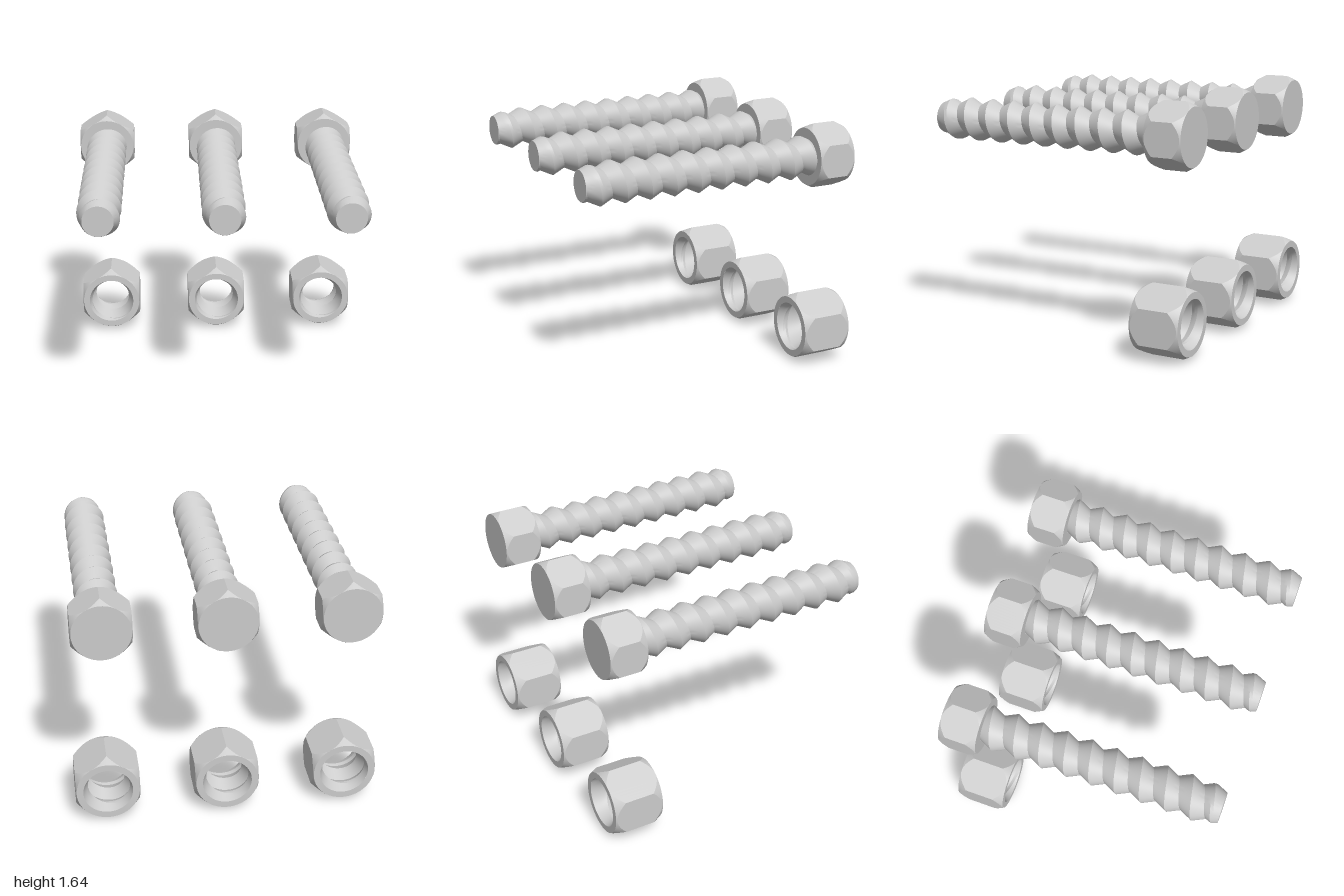
import * as THREE from 'three';
import { toCreasedNormals } from 'three/addons/utils/BufferGeometryUtils.js';

const PITCH = 0.169;
const SPACING = 0.789;
const BACK = -0.93;
const material = new THREE.MeshStandardMaterial({ color: 0xcccccc });

// Skin a grid of points, point(row, column); columns run counter-clockwise seen from +z
function skin(rows, columns, point, inward = false) {
  const positions = [];
  const ab = new THREE.Vector3(), ac = new THREE.Vector3();
  const addTriangle = (a, b, c) => {
    ab.subVectors(b, a);
    ac.subVectors(c, a);
    if (ab.cross(ac).length() < 1e-9) return;
    for (const p of inward ? [a, c, b] : [a, b, c]) positions.push(p.x, p.y, p.z);
  };
  for (let j = 0; j < rows; j++) {
    for (let i = 0; i < columns; i++) {
      const a = point(j, i), b = point(j, i + 1);
      const c = point(j + 1, i + 1), d = point(j + 1, i);
      addTriangle(a, b, c);
      addTriangle(a, c, d);
    }
  }
  const geometry = new THREE.BufferGeometry();
  geometry.setAttribute('position', new THREE.Float32BufferAttribute(positions, 3));
  geometry.computeVertexNormals();
  return toCreasedNormals(geometry, 0.35);
}

// Right-handed V thread whose grid rows follow the helix; limit(r, z) shapes its ends
function threadGeometry({ z0, z1, root, crest, phase, limit, inward }) {
  const perPitch = 8, columns = 72;
  const rows = Math.ceil((z1 - z0) / PITCH + 2) * perPitch;
  // start on a crest, at least one full turn below z0
  const start = phase + Math.floor((z0 - PITCH - phase) / PITCH) * PITCH;
  return skin(rows + perPitch, columns, (j, i) => {
    const turn = i / columns;
    const angle = turn * Math.PI * 2;
    const z = THREE.MathUtils.clamp(start + (j / perPitch + turn) * PITCH, z0, z1);
    const t = (z - phase) / PITCH - turn;
    const height = 2 * Math.abs(t - Math.floor(t) - 0.5);
    const r = limit(root + (crest - root) * height, z);
    return new THREE.Vector3(r * Math.cos(angle), r * Math.sin(angle), z);
  }, inward);
}

// Hexagonal prism along z, its corners cut by a cone at both ends
function hexGeometry({ z0, z1, halfWidth, halfHeight, hole, slope }) {
  const perSide = 12;
  const corners = [[1, 0.5], [0, 1], [-1, 0.5], [-1, -0.5], [0, -1], [1, -0.5]]
    .map(([x, y]) => new THREE.Vector2(x * halfWidth, y * halfHeight));
  const face = halfWidth * halfHeight / Math.hypot(halfWidth, halfHeight / 2);
  return skin(5, 6 * perSide, (j, i) => {
    const side = Math.floor(i / perSide);
    const p = corners[side % 6].clone().lerp(corners[(side + 1) % 6], (i % perSide) / perSide);
    const hex = p.length();
    const depth = Math.max(0, hex - face) / slope;
    const r = [hole, face, hex, hex, face, hole][j];
    const z = [z0, z0, z0 + depth, z1 - depth, z1, z1][j];
    return new THREE.Vector3(p.x / hex * r, p.y / hex * r, z);
  });
}

function addMesh(parent, name, geometry) {
  const mesh = new THREE.Mesh(geometry, material);
  mesh.name = name;
  parent.add(mesh);
  return mesh;
}

export function createModel() {
  const model = new THREE.Group();
  model.name = 'boltsAndNuts';

  // Bolt: hexagonal head and threaded shank with a tapered tip
  const tip = 0.93, tipRadius = 0.1;
  const headGeometry = hexGeometry({
    z0: BACK, z1: -0.675, halfWidth: 0.193, halfHeight: 0.2175, hole: 0, slope: 0.55,
  });
  const shankGeometry = threadGeometry({
    z0: -0.69, z1: tip, root: 0.1, crest: 0.141, phase: 0.72 - PITCH / 4,
    limit: (r, z) => Math.min(r, tipRadius + 0.42 * (tip - z)),
  });
  const tipGeometry = new THREE.CircleGeometry(tipRadius, 72);

  // Nut: hexagonal body and threaded bore, widened towards both mouths
  const nutFront = -0.588, mouth = 0.163;
  const nutGeometry = hexGeometry({
    z0: BACK, z1: nutFront, halfWidth: 0.211, halfHeight: 0.2375, hole: mouth, slope: 0.5,
  });
  const boreGeometry = threadGeometry({
    z0: BACK, z1: nutFront, root: 0.12, crest: 0.16, phase: -0.76, inward: true,
    limit: (r, z) => Math.max(r, mouth - 0.4 * Math.min(z - BACK, nutFront - z)),
  });

  // Three bolts above three nuts
  for (const x of [-SPACING, 0, SPACING]) {
    const bolt = new THREE.Group();
    bolt.name = 'bolt';
    bolt.position.set(x, 1.422, 0);
    addMesh(bolt, 'boltHead', headGeometry);
    addMesh(bolt, 'threadedShank', shankGeometry);
    addMesh(bolt, 'shankTip', tipGeometry).position.z = tip;

    const nut = new THREE.Group();
    nut.name = 'nut';
    nut.position.set(x, 0.2375, 0);
    addMesh(nut, 'nutBody', nutGeometry);
    addMesh(nut, 'threadedBore', boreGeometry);
    model.add(bolt, nut);
  }
  return model;
}
